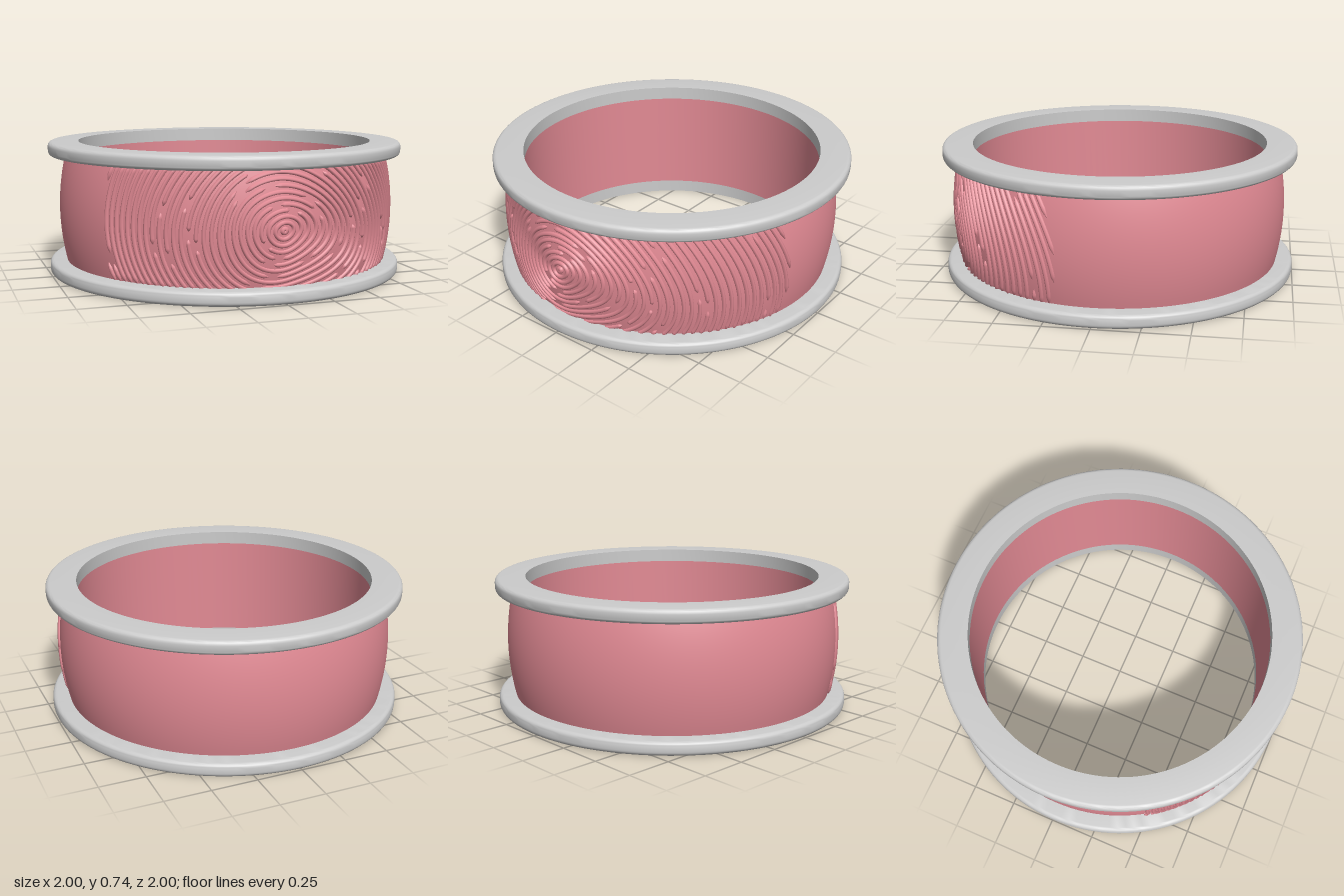
import * as THREE from 'three';
import { toCreasedNormals, mergeGeometries } from 'three/addons/utils/BufferGeometryUtils.js';

const MID = 0.37, HALF = 0.295, INNER = 0.83, BULGE = 0.94;
const grey = new THREE.MeshStandardMaterial({ color: 0xcccccc });
const pink = new THREE.MeshStandardMaterial({ color: 0xe28a94 });

// Outer radius of the barrel-shaped band at height v from its middle
const bandRadius = v => BULGE - 0.035 * (v / HALF) ** 2;

// Point on the band: u = arc length from the front, v = height, h = lift
function onBand(u, v, h) {
  const a = u / BULGE, r = bandRadius(v) + h;
  return [r * Math.sin(a), MID + v, r * Math.cos(a)];
}

function lathe(name, points, material) {
  const pts = [...points, points[0]].map(p => new THREE.Vector2(p[0], p[1]));
  const mesh = new THREE.Mesh(toCreasedNormals(new THREE.LatheGeometry(pts, 128), 0.6), material);
  mesh.name = name;
  return mesh;
}

// Flat ring with rounded outer edges
function rim(name, y0) {
  const h = 0.075, r = 0.024, pts = [[INNER, y0]];
  for (let i = 0; i <= 5; i++) {
    const a = -Math.PI / 2 + i * Math.PI / 10;
    pts.push([1 - r + r * Math.cos(a), y0 + r + r * Math.sin(a)]);
  }
  for (let i = 0; i <= 5; i++) {
    const a = i * Math.PI / 10;
    pts.push([1 - r + r * Math.cos(a), y0 + h - r + r * Math.sin(a)]);
  }
  pts.push([INNER, y0 + h]);
  return lathe(name, pts, grey);
}

// Rounded strip swept along a path of [u, v] points on the band
function ridge(path) {
  const profile = [[-1, -0.003], [-0.8, 0.008], [0, 0.013], [0.8, 0.008], [1, -0.003]];
  const n = path.length, m = profile.length, pos = [], idx = [];
  const closed = Math.hypot(path[0][0] - path[n - 1][0], path[0][1] - path[n - 1][1]) < 1e-6;
  path.forEach(([u, v], i) => {
    const p = path[closed && i === 0 ? n - 2 : Math.max(i - 1, 0)];
    const q = path[closed && i === n - 1 ? 1 : Math.min(i + 1, n - 1)];
    const du = q[0] - p[0], dv = q[1] - p[1], l = Math.hypot(du, dv) || 1;
    const end = closed ? 1 : Math.min(1, 0.25 + Math.min(i, n - 1 - i) * 0.4);
    for (const [s, h] of profile) {
      const w = s * 0.0115 * end;
      pos.push(...onBand(u - dv / l * w, v + du / l * w, h > 0 ? h * end : h));
    }
    if (i < n - 1) for (let j = 0; j < m - 1; j++) {
      const a = i * m + j, b = a + m;
      idx.push(a, b, b + 1, a, b + 1, a + 1);
    }
  });
  const g = new THREE.BufferGeometry();
  g.setAttribute('position', new THREE.Float32BufferAttribute(pos, 3));
  g.setIndex(idx);
  g.computeVertexNormals();
  return g;
}

// Point of whorl number k at angle phi: a tilted oval that grows wider to the right
function whorl(k, phi) {
  const c = Math.cos(phi), s = Math.sin(phi);
  const t = 0.65 * Math.exp(-k / 7);
  const a = (k + 0.3) * (0.039 + 0.003 * c), b = (k + 0.3) * 0.031;
  const wave = Math.min(k, 8) * 0.0009 * Math.sin(3 * phi + k * 0.25);
  const x = (a + wave) * c, y = (b + wave) * s;
  const drop = k * 0.008 * Math.max(0, c) ** 2;
  return [x * Math.cos(t) - y * Math.sin(t), x * Math.sin(t) + y * Math.cos(t) - drop - 0.01];
}

function fingerprint() {
  let seed = 7;
  const rand = () => (seed = (seed * 16807) % 2147483647) / 2147483647;
  const parts = [];
  for (let k = 0; k < 38; k++) {
    const steps = k < 10 ? 140 : 360;
    const start = rand() * Math.PI * 2;
    // Breaks where a ridge line stops and starts again
    const gaps = k < 3 ? [] : [0, (0.25 + rand() * 0.5) * Math.PI * 2];
    const rightEnd = 1.23 + rand() * 0.06, leftEnd = -1.0 + rand() * 0.06;
    let run = [];
    const flush = () => {
      if (run.length > 5) parts.push(ridge(run));
      run = [];
    };
    for (let i = 0; i <= steps; i++) {
      const f = i / steps * Math.PI * 2;
      const [u, v] = whorl(k, start + f);
      const broken = gaps.some(g => {
        const d = Math.abs(f - g);
        return Math.min(d, Math.PI * 2 - d) * (k + 1) * 0.036 < 0.022;
      });
      const inside = Math.abs(v) < 0.31 && u > leftEnd && u < rightEnd - 0.5 * (v + 0.05) ** 2;
      if (inside && !broken) run.push([u, v]);
      else flush();
    }
    flush();
  }
  const mesh = new THREE.Mesh(mergeGeometries(parts), pink);
  mesh.name = 'fingerprintRidges';
  return mesh;
}

export function createModel() {
  const group = new THREE.Group();
  group.name = 'ring';

  // Barrel-shaped band between the rims
  const band = [[INNER, MID - HALF]];
  for (let i = 0; i <= 20; i++) {
    const v = -HALF + i * HALF / 10;
    band.push([bandRadius(v), MID + v]);
  }
  band.push([INNER, MID + HALF]);

  group.add(
    lathe('band', band, pink),
    rim('bottomRim', 0),
    rim('topRim', MID + HALF),
    fingerprint()
  );
  return group;
}
